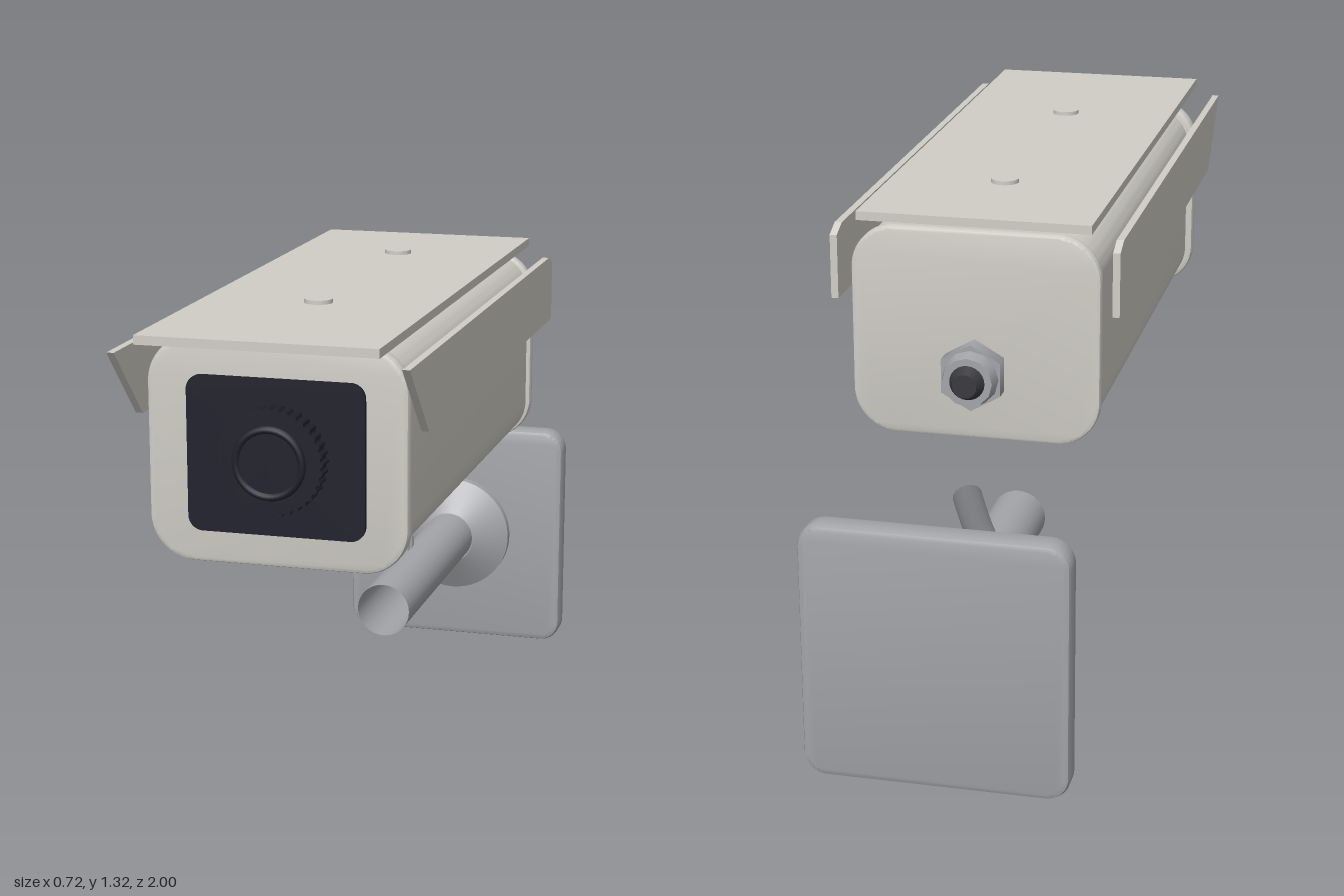
import * as THREE from 'three';
import { toCreasedNormals } from 'three/addons/utils/BufferGeometryUtils.js';

const mat = (name, color, side = THREE.FrontSide) => {
  const m = new THREE.MeshStandardMaterial({ color, side });
  m.name = name;
  return m;
};

export function createModel() {
  const root = new THREE.Group();
  root.name = 'securityCamera';
  const shell = mat('warm light grey shell', 0xd0cec6);
  const metal = mat('mid grey metal', 0xa4a5a9);
  const tubeMetal = mat('mid grey tube', 0xa4a5a9, THREE.DoubleSide);
  const glass = mat('dark navy glass', 0x20202c);
  const rubber = mat('dark rubber', 0x3a3a3e);

  const add = (name, geo, material, x = 0, y = 0, z = 0) => {
    const m = new THREE.Mesh(geo, material);
    m.name = name;
    m.position.set(x, y, z);
    root.add(m);
    return m;
  };

  const roundedRect = (w, h, r) => {
    const s = new THREE.Shape();
    const x = w / 2 - r, y = h / 2 - r;
    s.absarc(x, y, r, 0, Math.PI / 2);
    s.absarc(-x, y, r, Math.PI / 2, Math.PI);
    s.absarc(-x, -y, r, Math.PI, Math.PI * 1.5);
    s.absarc(x, -y, r, Math.PI * 1.5, Math.PI * 2);
    s.closePath();
    return s;
  };

  // Rounded slab between z = 0 and z = depth, with an optional bevel inside its outline
  const slab = (w, h, r, depth, bevel = 0) => toCreasedNormals(new THREE.ExtrudeGeometry(
    roundedRect(w - 2 * bevel, h - 2 * bevel, r - bevel), {
      depth: depth - 2 * bevel, curveSegments: 10, bevelEnabled: bevel > 0,
      bevelThickness: bevel, bevelSize: bevel, bevelSegments: 2,
    }).translate(0, 0, bevel), 0.6);

  // Disc with square-cut grips around its rim, along z
  const grip = (r, depth, teeth, cut) => {
    const s = new THREE.Shape();
    for (let i = 0; i < teeth * 4; i++) {
      const a = (i / (teeth * 4)) * Math.PI * 2;
      const d = i % 4 < 2 ? r : r - cut;
      s[i ? 'lineTo' : 'moveTo'](Math.cos(a) * d, Math.sin(a) * d);
    }
    s.closePath();
    return new THREE.ExtrudeGeometry(s, { depth, bevelEnabled: false });
  };

  const cylZ = (rFront, rBack, depth, sides = 40, open = false) =>
    new THREE.CylinderGeometry(rFront, rBack, depth, sides, 1, open).rotateX(Math.PI / 2);

  // Housing with end plates and their seals
  const midY = 1.004;
  add('housing', slab(0.6, 0.515, 0.1, 1.31), shell, 0, midY, -0.52);
  add('frontSeal', slab(0.58, 0.495, 0.09, 0.03), rubber, 0, midY, 0.782);
  add('rearSeal', slab(0.58, 0.495, 0.09, 0.03), rubber, 0, midY, -0.54);
  add('frontPlate', slab(0.635, 0.54, 0.11, 0.045, 0.01), shell, 0, midY, 0.805);
  add('rearPlate', slab(0.62, 0.53, 0.11, 0.035, 0.008), shell, 0, midY, -0.565);

  // Window and lens
  add('window', slab(0.434, 0.376, 0.036, 0.012), glass, 0, 1.002, 0.848);
  add('lensRing', grip(0.13, 0.05, 36, 0.006), glass, 0, 1.002, 0.858);
  add('lensRim', new THREE.TorusGeometry(0.08, 0.01, 10, 40), glass, 0, 1.002, 0.91);
  add('lensGlass', cylZ(0.073, 0.073, 0.008), glass, 0, 1.002, 0.91);

  // Sunshield: top plate, spacers, screws and slanted side panels
  add('sunshieldTop', new THREE.BoxGeometry(0.58, 0.022, 1.58), shell, 0, 1.294, 0.21);
  for (const z of [0.505, -0.24]) {
    add('shieldScrew', new THREE.CylinderGeometry(0.035, 0.035, 0.012, 24), shell, 0, 1.309, z);
    for (const x of [-0.145, 0.145]) {
      add('shieldSpacer', new THREE.CylinderGeometry(0.03, 0.03, 0.03, 20), rubber, x, 1.272, z);
    }
  }
  const side = new THREE.Shape([[-0.995, 1.26], [-0.82, 1.08], [0.575, 1.08], [0.575, 1.24], [0.53, 1.26]]
    .map(([x, y]) => new THREE.Vector2(x, y)));
  for (const s of [-1, 1]) {
    const g = new THREE.ExtrudeGeometry(side, { depth: 0.018, bevelEnabled: false });
    g.translate(0, 0, -0.009).rotateY(Math.PI / 2);
    add(s > 0 ? 'leftShieldPanel' : 'rightShieldPanel', g, shell, s * 0.349, 0, 0);
  }

  // Underside bracket with four screws
  const foot = slab(0.39, 0.475, 0.04, 0.045, 0.01);
  foot.rotateX(Math.PI / 2);
  add('bracketPlate', foot, metal, 0, 0.756, 0.06);
  for (const x of [-0.135, 0.135]) for (const z of [-0.115, 0.235]) {
    add('bracketScrew', new THREE.CylinderGeometry(0.02, 0.02, 0.006, 16), rubber, x, 0.71, z);
  }

  // Swivel joint with gripped locking ring
  add('swivelShaft', new THREE.CylinderGeometry(0.05, 0.05, 0.06, 24), metal, 0, 0.69, 0.06);
  const neck = [[0, 0.682], [0.072, 0.682], [0.083, 0.67], [0.083, 0.63], [0.07, 0.605], [0, 0.605]]
    .reverse().map(([r, y]) => new THREE.Vector2(r, y));
  add('swivelNeck', toCreasedNormals(new THREE.LatheGeometry(neck, 36), 0.5), shell, 0, 0, 0.06);
  add('lockingRing', grip(0.122, 0.045, 32, 0.01).rotateX(Math.PI / 2), metal, 0, 0.612, 0.06);

  // Cable gland on the rear
  add('glandNut', cylZ(0.085, 0.085, 0.045, 6), metal, 0, 0.913, -0.592);
  add('glandCap', cylZ(0.07, 0.062, 0.035, 12), metal, 0, 0.913, -0.632);
  add('glandSeal', cylZ(0.045, 0.03, 0.03, 24), rubber, 0, 0.913, -0.662);

  // Wall plate, flange and hollow arm
  add('wallPlate', slab(0.66, 0.66, 0.06, 0.075, 0.015), metal, 0, 0.33, -1);
  add('flangeBase', cylZ(0.172, 0.172, 0.03, 56), metal, 0, 0.33, -0.915);
  add('flangeCone', cylZ(0.075, 0.172, 0.055, 56), metal, 0, 0.33, -0.873);
  add('arm', cylZ(0.073, 0.073, 0.755, 32, true), tubeMetal, 0, 0.334, -0.47);

  // Loose cable piece behind the arm
  const cable = new THREE.CatmullRomCurve3([
    new THREE.Vector3(-0.05, 0.71, -0.855),
    new THREE.Vector3(-0.065, 0.62, -0.82),
    new THREE.Vector3(-0.09, 0.52, -0.78),
  ]);
  add('cable', new THREE.TubeGeometry(cable, 12, 0.035, 14), tubeMetal);

  return root;
}
